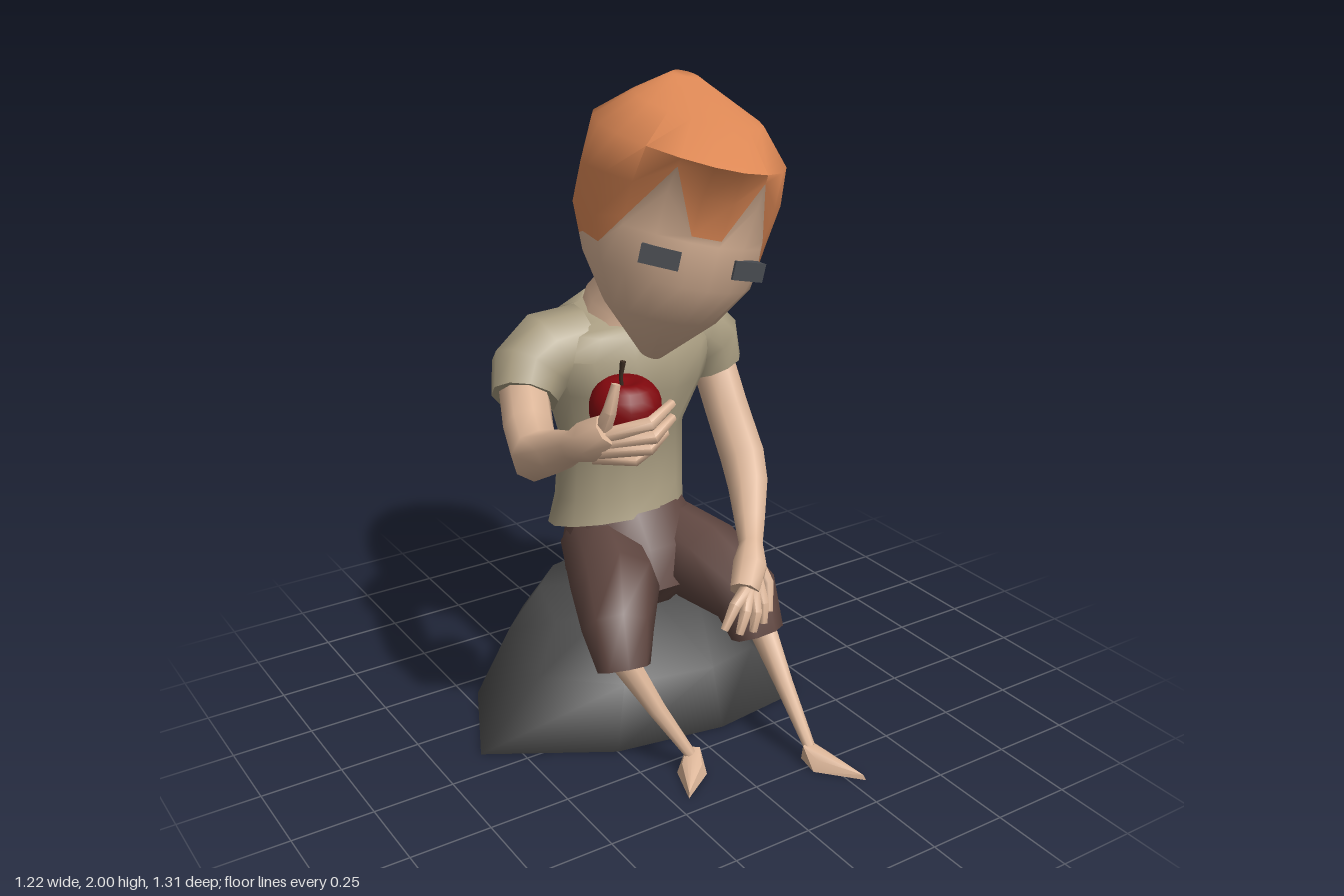
import * as THREE from 'three';
import { toCreasedNormals } from 'three/addons/utils/BufferGeometryUtils.js';
import { ConvexGeometry } from 'three/addons/geometries/ConvexGeometry.js';

const paint = (name, color) => {
  const m = new THREE.MeshStandardMaterial({ color });
  m.name = name;
  return m;
};
const V = (x, y, z) => new THREE.Vector3(x, y, z);

// Joins closed rings of equal length into a capped surface
function skinRings(rings, crease = 0.9, capStart = true, capEnd = true) {
  const n = rings[0].length, pos = [], idx = [];
  rings.forEach(r => r.forEach(p => pos.push(p.x, p.y, p.z)));
  for (let i = 0; i < rings.length - 1; i++) {
    for (let j = 0; j < n; j++) {
      const k = (j + 1) % n, a = i * n + j, b = i * n + k;
      idx.push(a, a + n, b, b, a + n, b + n);
    }
  }
  const cap = (i, flip) => {
    const c = V(0, 0, 0);
    rings[i].forEach(p => c.addScaledVector(p, 1 / n));
    const ci = pos.length / 3;
    pos.push(c.x, c.y, c.z);
    for (let j = 0; j < n; j++) {
      const a = i * n + j, b = i * n + (j + 1) % n;
      idx.push(ci, flip ? b : a, flip ? a : b);
    }
  };
  if (capStart) cap(0, false);
  if (capEnd) cap(rings.length - 1, true);
  const g = new THREE.BufferGeometry();
  g.setAttribute('position', new THREE.Float32BufferAttribute(pos, 3));
  g.setIndex(idx);
  return toCreasedNormals(g, crease);
}

// Limb through [x, y, z, radius] points
function limb(path, sides = 8) {
  const pts = path.map(p => V(p[0], p[1], p[2]));
  let u = null;
  const rings = pts.map((p, i) => {
    const t = pts[Math.min(i + 1, pts.length - 1)].clone().sub(pts[Math.max(i - 1, 0)]).normalize();
    if (!u) u = Math.abs(t.x) < 0.7 ? V(1, 0, 0) : V(0, 0, 1);
    u = u.clone().addScaledVector(t, -t.dot(u)).normalize();
    const v = u.clone().cross(t);
    return Array.from({ length: sides }, (_, j) => {
      const a = j / sides * Math.PI * 2, r = path[i][3];
      return p.clone().addScaledVector(u, r * Math.cos(a)).addScaledVector(v, r * Math.sin(a));
    });
  });
  return skinRings(rings, 1.1);
}

// Point on an oval section [yFront, yBack, zFront, zBack, halfWidth, xCentre]
function ovalPoint([yf, yb, zf, zb, w, cx = 0], angle) {
  const c = Math.cos(angle);
  return V(cx + w * Math.sin(angle), (yf + yb) / 2 + (yf - yb) / 2 * c, (zf + zb) / 2 + (zf - zb) / 2 * c);
}
const ringAngle = (j, n) => -(j + 0.5) / n * Math.PI * 2;
const ovals = (sections, n = 14) => skinRings(sections.map(s =>
  Array.from({ length: n }, (_, j) => ovalPoint(s, ringAngle(j, n)))));

export function createModel() {
  const model = new THREE.Group();
  const skin = paint('skin', 0xdbb598), hair = paint('hair', 0xdd8855), shirt = paint('shirt', 0xaa9e82);
  const trousers = paint('trousers', 0x5f4640), stone = paint('stone', 0x4b4b4b), dark = paint('eye grey', 0x484b50);
  const red = paint('apple red', 0x80080d), flesh = paint('apple flesh', 0xcc8848), brown = paint('stem brown', 0x3b2c22);
  const add = (name, geo, mat, parent = model) => {
    const m = new THREE.Mesh(geo, mat);
    m.name = name;
    parent.add(m);
    return m;
  };

  // Boulder seat, smooth all over
  add('boulder', skinRings([
    [[.61, 0, -.31], [.42, 0, .14], [.1, 0, .18], [-.25, 0, .12], [-.61, 0, -.095], [-.46, 0, -.42], [-.235, 0, -.645], [.33, 0, -.66]],
    [[.41, .14, -.26], [.3, .17, .06], [.08, .21, .155], [-.2, .2, .08], [-.39, .185, -.12], [-.35, .22, -.39], [-.22, .2, -.54], [.27, .2, -.53]],
    [[.24, .34, -.24], [.2, .33, -.12], [.03, .355, -.15], [-.15, .34, -.12], [-.28, .31, -.2], [-.25, .36, -.36], [-.15, .37, -.45], [.18, .41, -.46]],
  ].map(r => r.map(p => V(...p))), 3.2), stone);

  // Trousers
  add('trouserSeat', ovals([
    [.38, .40, -.02, -.33, .14], [.46, .45, .04, -.38, .23],
    [.58, .52, .0, -.40, .225], [.69, .6, -.1, -.39, .19],
  ]), trousers);
  add('rightTrouserLeg', limb([[-.1, .54, -.24, .12], [-.18, .495, 0, .138], [-.262, .44, .15, .108], [-.272, .34, .2, .08]]), trousers);
  add('leftTrouserLeg', limb([[.1, .54, -.24, .12], [.15, .495, 0, .138], [.195, .43, .16, .108], [.205, .32, .21, .083]]), trousers);

  // Shins and pointed feet
  add('rightShin', limb([[-.27, .37, .18, .045], [-.19, .2, .25, .029], [-.11, .05, .31, .018]]), skin);
  add('leftShin', limb([[.215, .35, .21, .045], [.215, .2, .34, .029], [.215, .05, .475, .018]]), skin);
  const foot = (name, x, z, tx, tz) => {
    const len = Math.hypot(tx - x, tz - z);
    const f = add(name, toCreasedNormals(new ConvexGeometry([
      V(0, 0, -.03), V(-.02, .06, -.015), V(.02, .06, -.015), V(0, .055, .02),
      V(-.045, 0, .035), V(.045, 0, .035), V(-.03, .035, .04), V(.03, .035, .04), V(0, 0, len), V(0, .015, len * .95),
    ]), 0.6), skin);
    f.position.set(x, 0, z);
    f.rotation.y = Math.atan2(tx - x, tz - z);
  };
  foot('rightFoot', -.1, .31, -.2, .44);
  foot('leftFoot', .215, .48, .295, .65);

  // Shirt
  add('shirtBody', ovals([
    [.66, .56, -.08, -.455, .225, -.015], [.73, .68, -.1, -.41, .217, -.01], [.92, .9, -.1, -.375, .21, -.01],
    [1.08, 1.08, -.03, -.425, .265], [1.19, 1.19, -.045, -.425, .305], [1.25, 1.29, -.07, -.395, .25], [1.27, 1.35, -.08, -.35, .14],
  ]), shirt);
  add('leftSleeve', limb([[.13, 1.21, -.235, .115], [.24, 1.185, -.24, .128], [.3, 1.13, -.235, .118], [.325, 1.05, -.22, .092]], 10), shirt);
  add('rightSleeve', limb([[-.13, 1.21, -.24, .115], [-.25, 1.185, -.255, .132], [-.325, 1.14, -.24, .122], [-.365, 1.085, -.195, .1]], 10), shirt);

  // Arms
  add('leftArm', limb([[.32, 1.1, -.24, .07], [.328, .93, -.15, .07], [.333, .79, -.065, .072], [.31, .72, .0, .066],
    [.255, .645, .09, .05], [.21, .6, .16, .038], [.17, .56, .21, .055], [.12, .51, .255, .047]]), skin);
  add('rightArm', limb([[-.355, 1.11, -.22, .075], [-.415, 1.04, -.08, .075], [-.45, 1.0, .03, .075], [-.465, 1.07, .18, .06],
    [-.468, 1.12, .28, .042], [-.455, 1.16, .35, .06], [-.43, 1.2, .395, .045]]), skin);

  // Fingers: [root, knuckle, tip] with a small taper
  const fingers = (name, list) => list.forEach((f, i) =>
    add(name + i, limb(f.map((p, k) => [...p, [.024, .02, .013][k]]), 6), skin));
  fingers('leftFinger', [
    [[.15, .53, .25], [.06, .49, .29], [.02, .425, .295]],
    [[.14, .53, .25], [.09, .47, .305], [.065, .405, .31]],
    [[.15, .53, .25], [.125, .46, .31], [.115, .4, .31]],
    [[.17, .54, .24], [.165, .47, .29], [.16, .41, .3]],
    [[.2, .57, .2], [.21, .51, .25], [.195, .43, .28]],
  ]);
  fingers('rightFinger', [
    [[-.44, 1.19, .38], [-.44, 1.26, .42], [-.42, 1.33, .42]],
    [[-.44, 1.18, .39], [-.35, 1.225, .475], [-.26, 1.25, .435]],
    [[-.44, 1.16, .39], [-.345, 1.19, .485], [-.265, 1.215, .445]],
    [[-.45, 1.14, .38], [-.355, 1.16, .48], [-.29, 1.18, .45]],
    [[-.455, 1.12, .36], [-.38, 1.125, .45], [-.32, 1.145, .445]],
  ]);

  // Bitten apple: vertices inside the bite ball are pushed back onto it
  const apple = new THREE.SphereGeometry(.098, 16, 12), ap = apple.attributes.position;
  const bite = V(.11, -.002, -.055), inBite = [], faces = [[], []], p = V(0, 0, 0);
  for (let i = 0; i < ap.count; i++) {
    p.fromBufferAttribute(ap, i);
    const wide = 1 + p.y * 1.2, rim = Math.hypot(p.x, p.z);
    if (p.y > 0) p.y -= .03 * Math.max(0, 1 - rim / .05);
    p.x *= wide; p.z *= wide;
    inBite[i] = p.distanceTo(bite) < .077;
    if (inBite[i]) p.sub(bite).setLength(.077).add(bite);
    ap.setXYZ(i, p.x, p.y, p.z);
  }
  const ix = apple.index.array;
  for (let i = 0; i < ix.length; i += 3) {
    const tri = [ix[i], ix[i + 1], ix[i + 2]];
    faces[tri.every(k => inBite[k]) ? 1 : 0].push(...tri);
  }
  apple.setIndex(faces.flat());
  apple.addGroup(0, faces[0].length, 0);
  apple.addGroup(faces[0].length, faces[1].length, 1);
  add('apple', toCreasedNormals(apple, 0.8), [red, flesh]).position.set(-.335, 1.21, .325);
  add('appleStem', limb([[-.345, 1.26, .325, .006], [-.348, 1.31, .325, .006], [-.343, 1.35, .328, .009]], 6), brown);

  // Neck
  add('neck', limb([[0, 1.26, -.215, .15], [0, 1.34, -.2, .13], [0, 1.41, -.15, .098], [.01, 1.52, -.09, .095]], 10), skin);

  // Head, turned and tilted; the hairline splits face from hair
  const head = new THREE.Group();
  head.name = 'head';
  head.position.set(.02, 1.62, 0);
  head.rotation.set(0, -.33, -.25, 'ZYX');
  model.add(head);
  const sections = [
    [-.39, -.37, .125, .05, .035], [-.26, -.25, .245, -.06, .165], [-.14, -.14, .37, -.22, .235], [-.02, -.02, .37, -.36, .27],
    [.1, .1, .4, -.33, .277], [.19, .25, .475, -.355, .262, -.01], [.285, .335, .28, -.25, .18, .01], [.37, .4, -.08, -.18, .045],
  ];
  const hairline = [3.15, 4.75, 3.2, 2.45, 2.5, 2.35, 2.1, 1.9, 1.9], n = hairline.length * 2;
  const headPoint = (k, a) => {
    const q = ovalPoint(sections[k], a), c = Math.cos(a);
    // pointed brow, square back
    q.x *= 1 - c * Math.abs(c) * (c < 0 ? .28 : .12);
    return q;
  };
  const headRing = limit => Array.from({ length: n }, (_, j) => {
    const t = limit(hairline[Math.min(j, n - 1 - j)]), k = Math.min(Math.floor(t), sections.length - 2);
    const a = ringAngle(j, n);
    return headPoint(k, a).lerp(headPoint(k + 1, a), t - k);
  });
  const levels = sections.map((_, i) => i);
  add('face', skinRings(levels.slice(0, 6).map(i => headRing(h => Math.min(i, h))), 1.3, true, false), skin, head);
  add('hair', skinRings(levels.slice(1).map(i => headRing(h => Math.max(i, h))), 1.3, false, true), hair, head);

  // Loose hair tufts
  [[.125, .235, -.165, .6, -.6], [-.06, .265, -.2, -.3, -.6]].forEach(([x, y, z, dx, dz], i) => {
    const tuft = add('hairTuft' + i, toCreasedNormals(new THREE.ConeGeometry(.12, .2, 5), 0.5), hair, head);
    tuft.position.set(x, y, z);
    tuft.quaternion.setFromUnitVectors(V(0, 1, 0), V(dx, .7, dz).normalize());
  });

  // Eyes
  [-1, 1].forEach(side => {
    const eye = add(side < 0 ? 'rightEye' : 'leftEye', new THREE.BoxGeometry(.11, .052, .035), dark, head);
    eye.position.set(side * .123 + .025, -.075, side < 0 ? .32 : .3);
    eye.rotation.y = side * .42;
  });
  return model;
}
